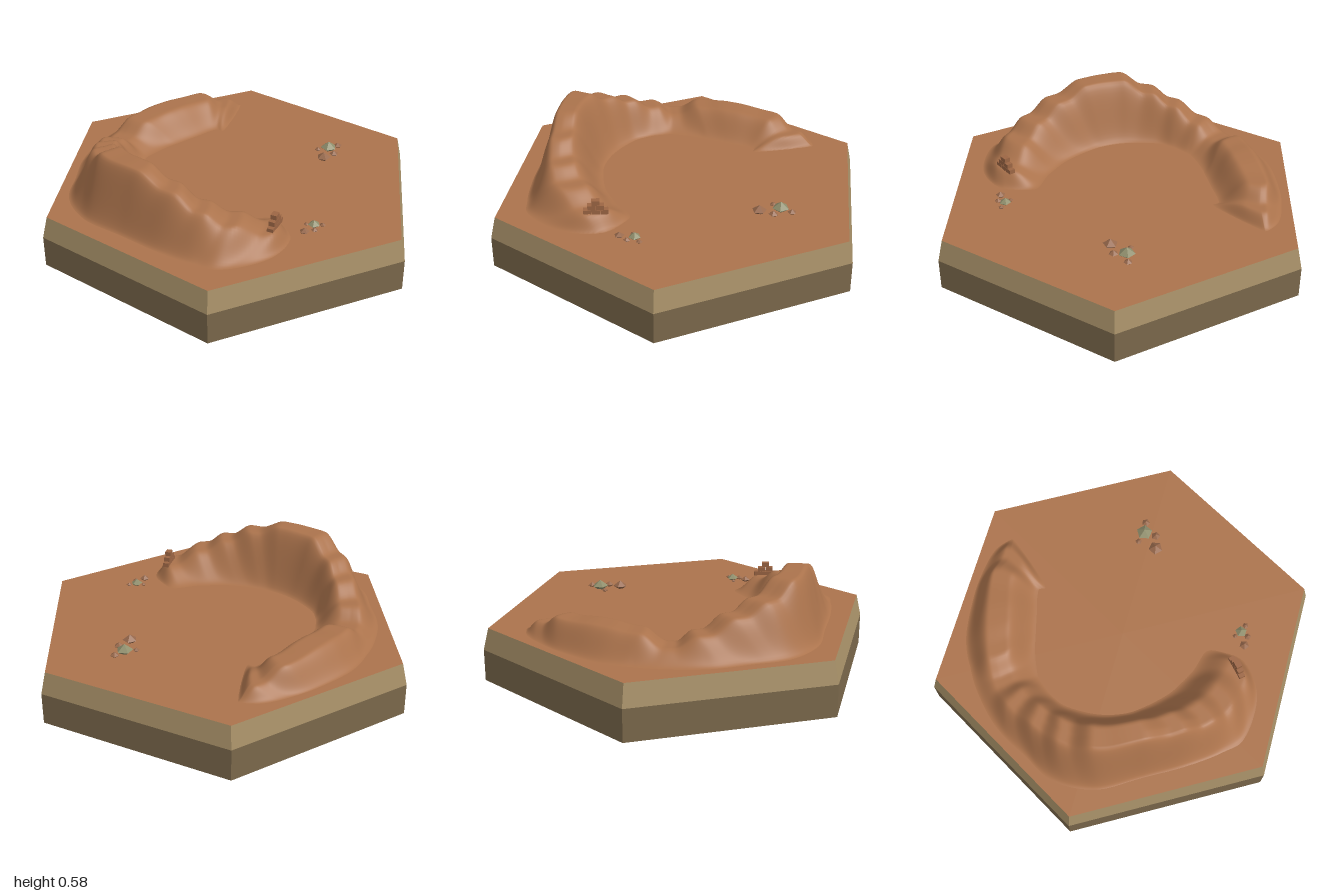
import * as THREE from 'three';

const GROUND = 0.27;

// Ridge stations: inner foot x,z | crest x,z | outer foot x,z | height above ground
const STATIONS = [
  [-0.14, 0.42, -0.26, 0.55, -0.36, 0.64, 0],
  [-0.18, 0.38, -0.37, 0.49, -0.52, 0.57, 0.075],
  [-0.28, 0.28, -0.49, 0.37, -0.69, 0.45, 0.14],
  [-0.36, 0.15, -0.56, 0.25, -0.73, 0.32, 0.195],
  [-0.40, 0.01, -0.59, 0.10, -0.75, 0.13, 0.26],
  [-0.41, -0.10, -0.60, -0.09, -0.75, -0.10, 0.315],
  [-0.38, -0.23, -0.58, -0.27, -0.75, -0.33, 0.31],
  [-0.30, -0.37, -0.49, -0.41, -0.66, -0.52, 0.24],
  [-0.22, -0.43, -0.38, -0.51, -0.50, -0.63, 0.185],
  [-0.13, -0.46, -0.25, -0.60, -0.32, -0.74, 0.12],
  [-0.08, -0.46, -0.12, -0.65, -0.13, -0.79, 0.065],
  [0.05, -0.44, 0.03, -0.64, 0.02, -0.80, 0.122],
  [0.20, -0.40, 0.20, -0.60, 0.20, -0.78, 0.13],
  [0.33, -0.36, 0.42, -0.54, 0.45, -0.67, 0.12],
  [0.33, -0.31, 0.55, -0.46, 0.62, -0.55, 0.06],
  [0.36, -0.28, 0.68, -0.42, 0.70, -0.48, 0],
];
const LAST = STATIONS.length - 1;
const SADDLE = 10;

// Stepped height along the crest
function crestHeight(t) {
  t = THREE.MathUtils.clamp(t, 0, LAST);
  const i = Math.min(Math.floor(t), LAST - 1);
  const k = THREE.MathUtils.smoothstep(t - i, 0.15, 0.85);
  return THREE.MathUtils.lerp(STATIONS[i][6], STATIONS[i + 1][6], k);
}

// Crescent ridge lofted across inner foot, crest and outer foot
function ridgeGeometry() {
  const [inner, crest, outer] = [0, 2, 4].map((o) =>
    new THREE.CatmullRomCurve3(STATIONS.map((s) => new THREE.Vector3(s[o], 0, s[o + 1])), false, 'catmullrom', 0.5));
  const nt = 180, nv = 40, positions = [], index = [];
  for (let i = 0; i <= nt; i++) {
    const u = i / nt, t = u * LAST;
    const a = inner.getPoint(u), b = crest.getPoint(u), c = outer.getPoint(u);
    // Steps bulge along the crest, away from the two summits
    const away = Math.tanh(t - (t < SADDLE ? 5.5 : 12.3)) * Math.min(1, Math.abs(t - SADDLE));
    for (let j = 0; j <= nv; j++) {
      const v = (j / nv) * 2 - 1;
      const p = v < 0 ? b.clone().lerp(a, -v) : b.clone().lerp(c, v);
      const slope = THREE.MathUtils.smoothstep(1 - Math.abs(v), 0, 0.75);
      const h = crestHeight(t + away * v * v * 0.8) * slope;
      positions.push(p.x, GROUND - 0.001 + h, p.z);
      if (i < nt && j < nv) {
        const q = i * (nv + 1) + j, r = q + nv + 1;
        index.push(q, r, q + 1, q + 1, r, r + 1);
      }
    }
  }
  const g = new THREE.BufferGeometry();
  g.setAttribute('position', new THREE.Float32BufferAttribute(positions, 3));
  g.setIndex(index);
  g.computeVertexNormals();
  return g;
}

export function createModel() {
  const model = new THREE.Group();
  const material = (name, color, extra = {}) => {
    const m = new THREE.MeshStandardMaterial({ color, ...extra });
    m.name = name;
    return m;
  };
  const clay = material('clay', 0xab734c, { side: THREE.DoubleSide });
  const sand = material('sand', 0xa68f67);
  const earth = material('earth', 0x7b684b);
  const brick = material('brick', 0x9c6644);
  const brownStone = material('brownStone', 0x98694c, { flatShading: true });
  const greyStone = material('greyStone', 0x8f8e6c, { flatShading: true });

  const add = (parent, name, geometry, mat, x = 0, y = 0, z = 0) => {
    const mesh = new THREE.Mesh(geometry, mat);
    mesh.name = name;
    mesh.position.set(x, y, z);
    parent.add(mesh);
    return mesh;
  };
  const flat = (g) => {
    const f = g.toNonIndexed();
    f.computeVertexNormals();
    return f;
  };

  // Hexagonal tile: straight lower wall, tapered rim, clay top
  add(model, 'tileBase', flat(new THREE.CylinderGeometry(1, 1, 0.16, 6)), earth, 0, 0.08, 0);
  add(model, 'tileRim', flat(new THREE.CylinderGeometry(0.973, 1, 0.11, 6, 1, true)), sand, 0, 0.215, 0);
  const top = add(model, 'groundTop', new THREE.CircleGeometry(0.973, 6, Math.PI / 2), clay, 0, GROUND, 0);
  top.rotation.x = -Math.PI / 2;

  add(model, 'crescentRidge', ridgeGeometry(), clay);

  // Small stepped stack of bricks on the front of the ridge
  const stack = new THREE.Group();
  stack.name = 'brickStack';
  stack.position.set(-0.345, 0.338, 0.495);
  stack.rotation.y = 0.2;
  model.add(stack);
  const brickShape = new THREE.BoxGeometry(0.038, 0.023, 0.03);
  for (let row = 0; row < 3; row++) {
    const count = 3 - row;
    for (let i = 0; i < count; i++) {
      add(stack, 'brick', brickShape, brick, (i - (count - 1) / 2) * 0.04, 0.0125 + row * 0.0245, 0);
    }
  }

  // Two clusters of faceted stones: x, z, radius, turn
  const stoneShape = new THREE.SphereGeometry(1, 5, 2);
  const clusters = [
    [[0.515, 0.252, 0.042, 0.3], [0.413, 0.285, 0.037, 0.9], [0.482, 0.305, 0.024, 0.1], [0.57, 0.275, 0.022, 1.2], [0.476, 0.21, 0.017, 0.5]],
    [[-0.147, 0.585, 0.03, 0.4], [-0.22, 0.58, 0.025, 1], [-0.18, 0.61, 0.018, 0.2], [-0.12, 0.617, 0.016, 0.8], [-0.16, 0.55, 0.013, 0.6]],
  ];
  for (const stones of clusters) {
    const cluster = new THREE.Group();
    cluster.name = 'stoneCluster';
    stones.forEach(([x, z, r, turn], i) => {
      const stone = add(cluster, 'stone', stoneShape, i === 0 ? greyStone : brownStone, x, GROUND + r * 0.4, z);
      stone.scale.set(r, r * 0.75, r);
      stone.rotation.y = turn;
    });
    model.add(cluster);
  }
  return model;
}
